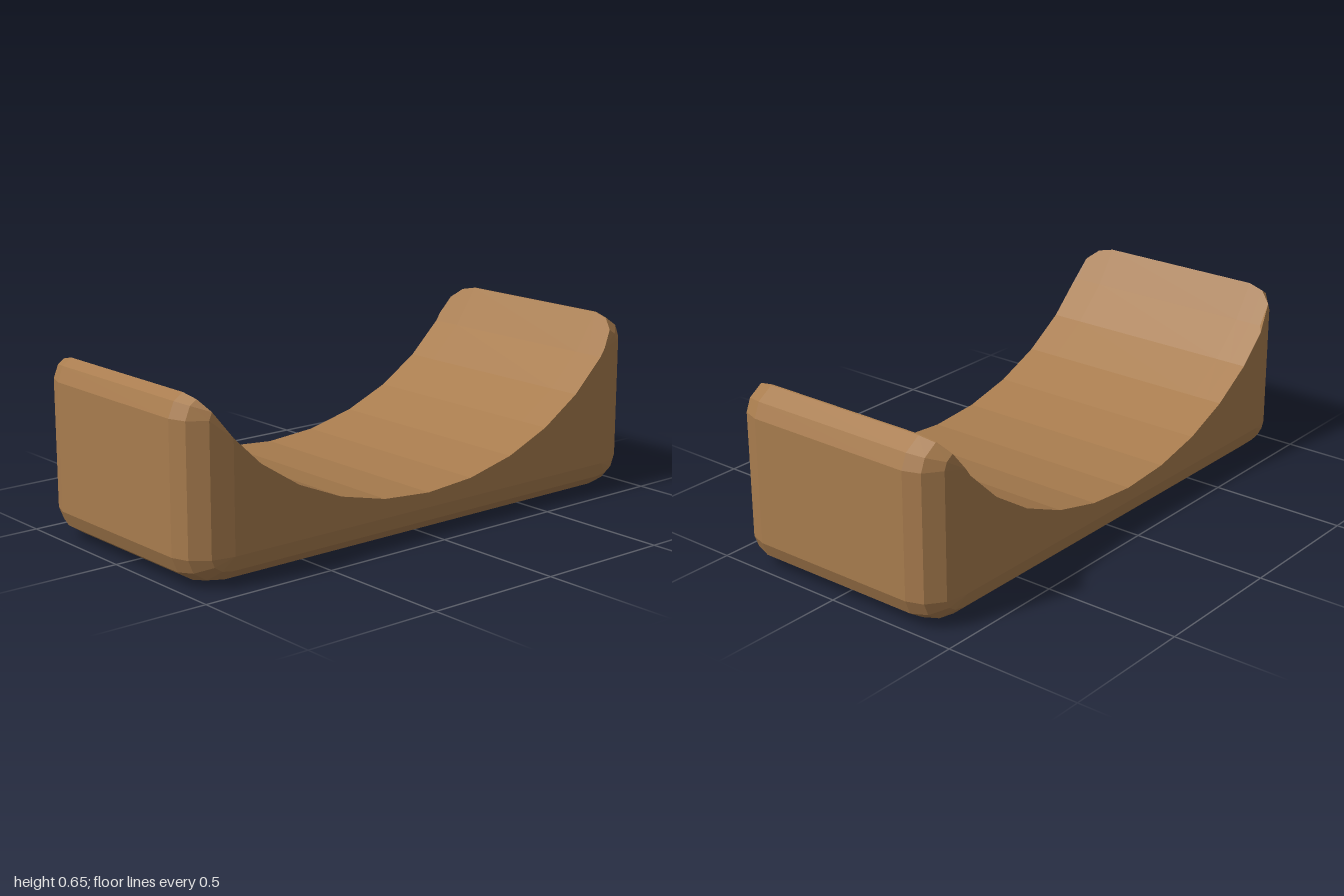
import * as THREE from 'three';

const W = 1, D = 0.44, H = 0.66;          // half width, half depth, block height
const RX = 0.16, RY = 0.105, RZ = 0.12;   // edge rounding per axis
const STEP = Math.PI / 6;                 // three facets per rounded edge

// Faceted arc scooped out of the top
const arcPoint = (k) => {
  const a = k * Math.PI / 16;
  return [-0.02 + 1.01 * Math.sin(a), 0.158 + 0.79 * (1 - Math.cos(a))];
};
const arc = [];
for (let k = -8; k <= 8; k++) arc.push(arcPoint(k));

function scoopY(x) {
  for (let i = 1; i < arc.length; i++) {
    const [x0, y0] = arc[i - 1], [x1, y1] = arc[i];
    if (x >= x0 && x <= x1) return y0 + (y1 - y0) * (x - x0) / (x1 - x0);
  }
  return Infinity;
}

// One side of the block's outline from bottom to top, stopped at the scoop
function sidePath(sign, scale) {
  const path = [];
  const corner = (cy, from) => {
    for (let j = 0; j <= 3; j++) {
      const a = from + j * STEP;
      path.push([sign * (W - RX + RX * scale * Math.cos(a)), cy + RY * scale * Math.sin(a)]);
    }
  };
  corner(RY, -Math.PI / 2);
  corner(H - RY, 0);
  const first = path.findIndex(([x, y]) => y > scoopY(x));
  const p = path[first - 1], q = path[first];
  let lo = 0, hi = 1, cut = p;
  for (let i = 0; i < 40; i++) {
    const t = (lo + hi) / 2;
    cut = [p[0] + (q[0] - p[0]) * t, p[1] + (q[1] - p[1]) * t];
    if (cut[1] > scoopY(cut[0])) hi = t; else lo = t;
  }
  return path.map((v, i) => (i < first ? v : cut));
}

// Closed outline at one depth: left side, base, right side, scoop
function outline(scale) {
  const left = sidePath(-1, scale), right = sidePath(1, scale);
  const a = left[left.length - 1], b = right[right.length - 1];
  const scoop = [];
  for (let k = 6; k >= -6; k--) {
    const v = arcPoint(k);
    scoop.push(v[0] >= b[0] ? b : v[0] <= a[0] ? a : v);
  }
  return { loop: [...left.reverse(), ...right, ...scoop], scoop: [b, ...scoop, a] };
}

function cradleGeometry() {
  const positions = [];
  const A = new THREE.Vector3(), B = new THREE.Vector3();
  const tri = (a, b, c) => {
    A.set(b[0] - a[0], b[1] - a[1], b[2] - a[2]);
    B.set(c[0] - a[0], c[1] - a[1], c[2] - a[2]);
    if (A.cross(B).length() > 1e-8) positions.push(...a, ...b, ...c);
  };
  const quad = (a, b, c, d) => { tri(a, b, c); tri(a, c, d); };

  // Outlines from back to front, shrinking into the rounded ends
  const slices = [];
  for (const side of [-1, 1]) {
    for (let j = 0; j <= 3; j++) {
      const a = (side < 0 ? 3 - j : j) * STEP;
      slices.push({ z: side * (D - RZ + RZ * Math.sin(a)), ...outline(Math.cos(a)) });
    }
  }
  for (let s = 0; s < slices.length - 1; s++) {
    const p = slices[s], q = slices[s + 1], n = p.loop.length;
    for (let i = 0; i < n; i++) {
      const j = (i + 1) % n;
      quad([...p.loop[i], p.z], [...p.loop[j], p.z], [...q.loop[j], q.z], [...q.loop[i], q.z]);
    }
  }

  // Flat back and front faces, filled in strips below the scoop
  for (const { z, scoop } of [slices[0], slices[slices.length - 1]]) {
    for (let i = 0; i < scoop.length - 1; i++) {
      const r = scoop[i], l = scoop[i + 1];
      const c = [[l[0], RY, z], [r[0], RY, z], [...r, z], [...l, z]];
      if (z < 0) c.reverse();
      quad(...c);
    }
  }

  const g = new THREE.BufferGeometry();
  g.setAttribute('position', new THREE.Float32BufferAttribute(positions, 3));
  g.computeVertexNormals();
  return g;
}

export function createModel() {
  const wood = new THREE.MeshStandardMaterial({ color: 0xa87c4e, flatShading: true });
  wood.name = 'wood';
  const group = new THREE.Group();
  group.name = 'cradleBlock';
  const body = new THREE.Mesh(cradleGeometry(), wood);
  body.name = 'scoopedBody';
  group.add(body);
  return group;
}
